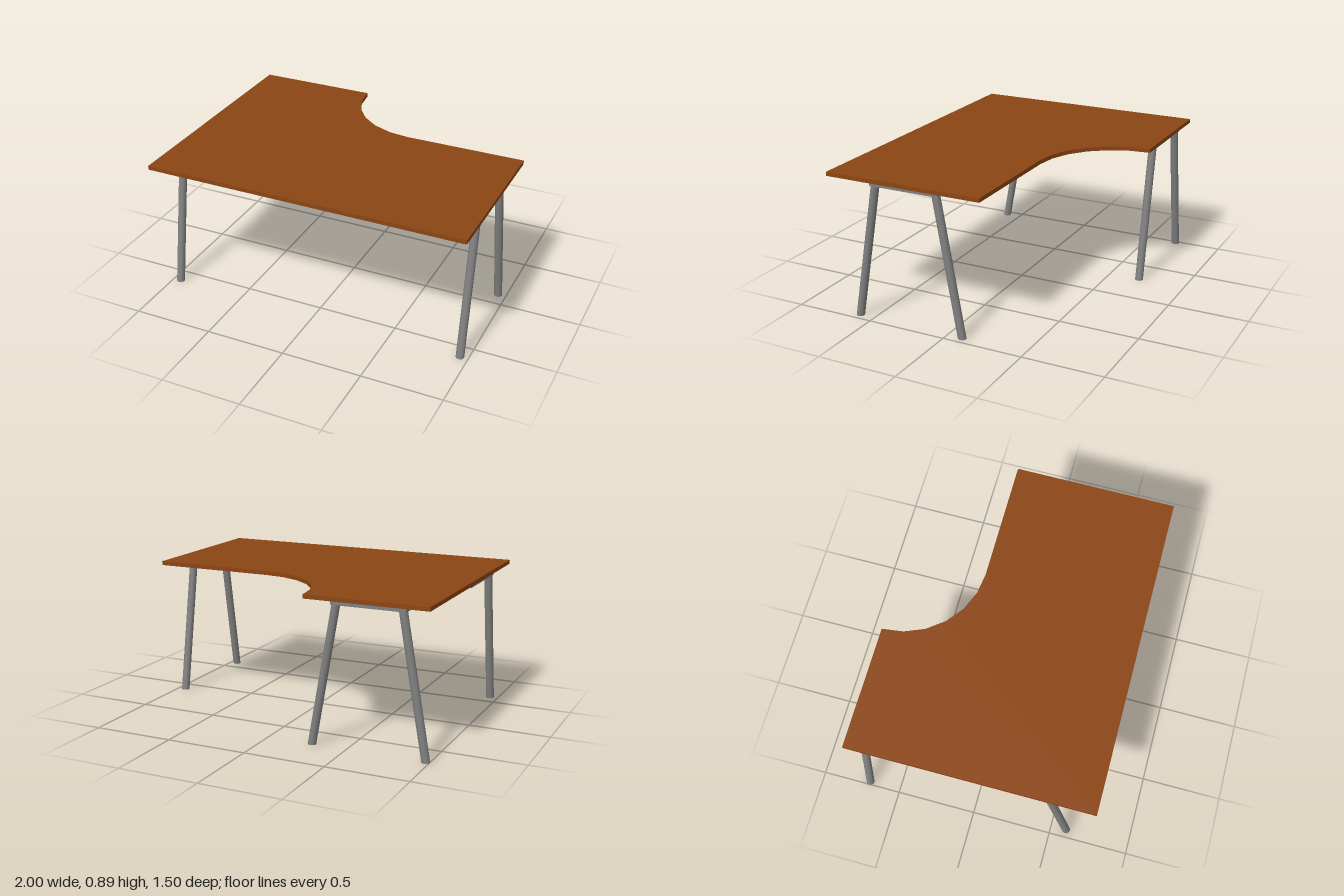
import * as THREE from 'three';
import { toCreasedNormals } from 'three/addons/utils/BufferGeometryUtils.js';

const LEG_H = 0.84, BAR_H = 0.025, BAR_W = 0.05, TOP_H = 0.025;

export function createModel() {
  const group = new THREE.Group();
  const wood = new THREE.MeshStandardMaterial({ color: 0x8b4513 });
  const steel = new THREE.MeshStandardMaterial({ color: 0x808080 });

  const add = (name, geometry, material) => {
    const mesh = new THREE.Mesh(geometry, material);
    mesh.name = name;
    group.add(mesh);
    return mesh;
  };

  // L-shaped desktop with a faceted quarter-round inner corner (shape y = -z)
  const outline = new THREE.Shape();
  outline.moveTo(-1, -0.75);
  outline.lineTo(1, -0.75);
  outline.lineTo(1, 0.25);
  for (let i = 0; i <= 6; i++) {
    const a = Math.PI * (1.5 - i / 12);
    outline.lineTo(0.25 + 0.5 * Math.cos(a), 0.75 + 0.5 * Math.sin(a));
  }
  outline.lineTo(-1, 0.75);
  outline.closePath();
  const top = new THREE.ExtrudeGeometry(outline, { depth: TOP_H, bevelEnabled: false });
  top.rotateX(-Math.PI / 2);
  add('desktop', toCreasedNormals(top, 0.5), wood).position.y = LEG_H + BAR_H;

  // Frame bars, given by their extents in x and z
  const bar = (name, x0, x1, z0, z1) => {
    const mesh = add(name, new THREE.BoxGeometry(x1 - x0, BAR_H, z1 - z0), steel);
    mesh.position.set((x0 + x1) / 2, LEG_H + BAR_H / 2, (z0 + z1) / 2);
  };
  const h = BAR_W / 2;
  for (const [name, z] of [['frontRail', 0.45], ['middleRail', 0.05]])
    bar(name, -0.95 - h, 0.95 + h, z - h, z + h);
  for (const [name, x] of [['leftEndBar', 0.95], ['rightEndBar', -0.95]])
    bar(name, x - h, x + h, 0.05 + h, 0.45 - h);
  for (const [name, x] of [['returnInnerRail', -0.43], ['returnOuterRail', -0.83]])
    bar(name, x - h, x + h, -0.7 + h, 0.05 - h);
  bar('returnEndBar', -0.83 - h, -0.43 + h, -0.7 - h, -0.7 + h);

  // Splayed round legs, sheared so both ends stay level
  const splay = Math.tan(THREE.MathUtils.degToRad(10)) * LEG_H;
  const leg = (name, x, z, dx, dz) => {
    const g = new THREE.CylinderGeometry(0.025, 0.025, LEG_H, 24);
    g.translate(0, LEG_H / 2, 0);
    const shear = new THREE.Matrix4().set(
      1, -dx * splay / LEG_H, 0, x + dx * splay,
      0, 1, 0, 0,
      0, -dz * splay / LEG_H, 1, z + dz * splay,
      0, 0, 0, 1);
    g.applyMatrix4(shear);
    add(name, g, steel);
  };
  leg('frontLeftLeg', 0.95, 0.45, 0, 1);
  leg('backLeftLeg', 0.95, 0.05, 0, -1);
  leg('frontRightLeg', -0.95, 0.45, 0, 1);
  leg('returnInnerLeg', -0.43, -0.7, 1, 0);
  leg('returnOuterLeg', -0.83, -0.7, -1, 0);

  return group;
}
